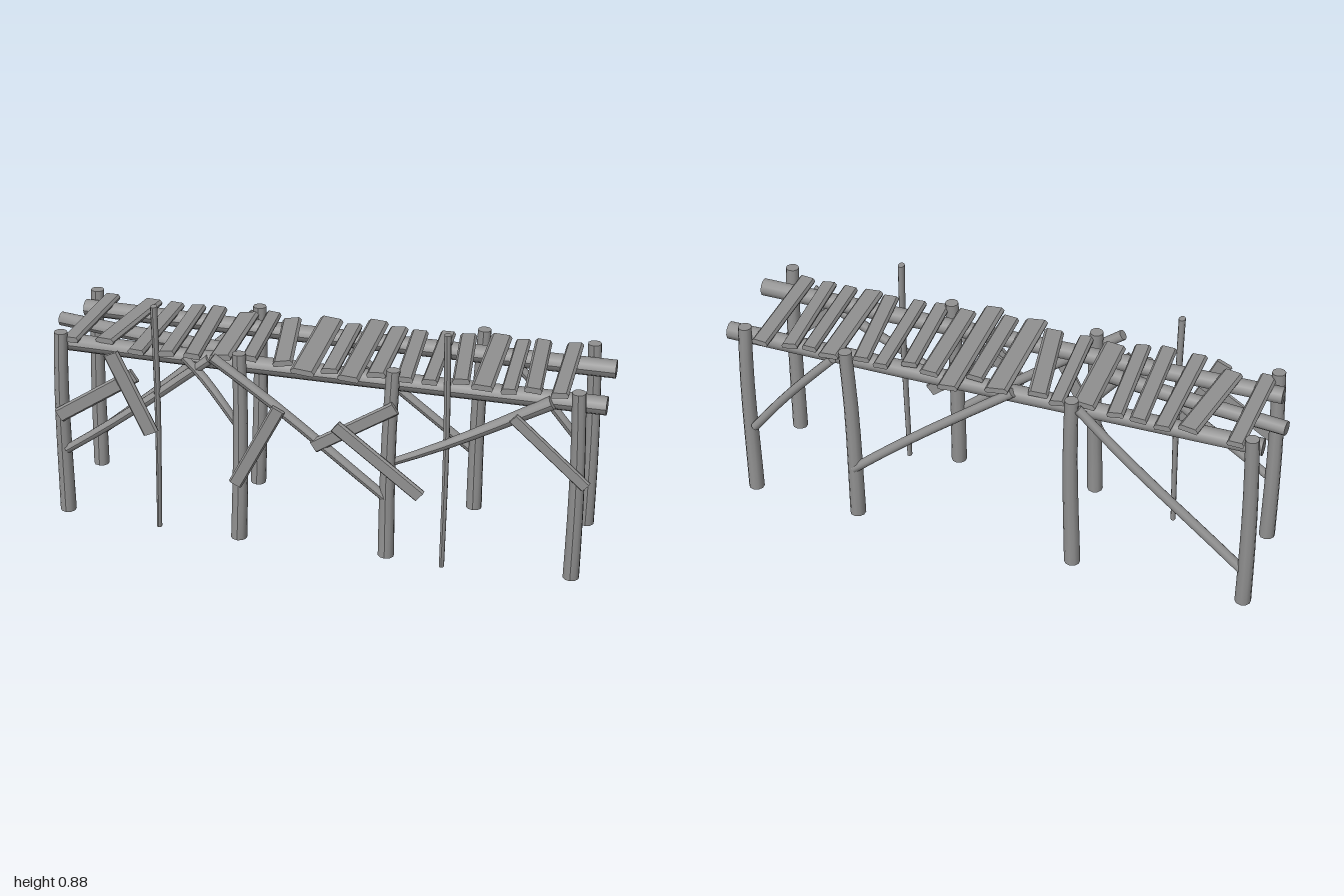
import * as THREE from 'three';

const wood = new THREE.MeshStandardMaterial({ color: 0x919191 });
const UP = new THREE.Vector3(0, 1, 0);

// Slightly bowed, tapered round log between two points
function log(name, a, b, r0, r1, bow = 0.006, flat = 1) {
  const from = new THREE.Vector3(...a), to = new THREE.Vector3(...b);
  const dir = to.clone().sub(from), len = dir.length();
  const geo = new THREE.CylinderGeometry(r1, r0, len, 10, 6);
  const p = geo.attributes.position;
  for (let i = 0; i < p.count; i++) {
    const t = p.getY(i) / len + 0.5;
    p.setX(i, p.getX(i) + bow * Math.sin(Math.PI * t));
    p.setZ(i, p.getZ(i) * flat + 0.4 * bow * Math.sin(Math.PI * 2 * t));
  }
  geo.computeVertexNormals();
  const mesh = new THREE.Mesh(geo, wood);
  mesh.name = name;
  mesh.position.copy(from).add(to).multiplyScalar(0.5);
  mesh.quaternion.setFromUnitVectors(UP, dir.normalize());
  return mesh;
}

// Rough-sawn slab: length along local z, top face narrower than the bottom
function slab(name, width, thick, length) {
  const w = width / 2, h = thick / 2;
  const s = new THREE.Shape([[-w * 0.9, -h], [w * 0.9, -h], [w, 0], [w * 0.75, h], [-w * 0.75, h], [-w, 0]]
    .map(([x, y]) => new THREE.Vector2(x, y)));
  const geo = new THREE.ExtrudeGeometry(s, { depth: length, bevelEnabled: false });
  geo.translate(0, 0, -length / 2);
  const mesh = new THREE.Mesh(geo, wood);
  mesh.name = name;
  return mesh;
}

export function createModel() {
  const model = new THREE.Group();
  model.name = 'woodenJetty';
  const group = (name) => {
    const g = new THREE.Group();
    g.name = name;
    model.add(g);
    return g;
  };

  // Posts: bottom x, z, top x, z
  const posts = group('posts');
  [
    [-0.935, 0.152, -0.918, 0.16], [-0.27, 0.203, -0.262, 0.185],
    [0.267, 0.203, 0.28, 0.19], [0.92, 0.198, 0.91, 0.215],
    [-0.935, -0.215, -0.918, -0.228], [-0.312, -0.212, -0.298, -0.22],
    [0.51, -0.21, 0.525, -0.21], [0.925, -0.192, 0.915, -0.185],
  ].forEach(([x0, z0, x1, z1], i) =>
    posts.add(log('post', [x0, 0.025, z0], [x1, 0.742, z1], 0.029, 0.024, i % 2 ? 0.006 : -0.006)));

  // Thin mooring poles rising above the deck
  const poles = group('mooringPoles');
  poles.add(log('pole', [-0.585, 0, 0.155], [-0.568, 0.88, 0.168], 0.009, 0.012, 0.005, 1.3));
  poles.add(log('pole', [0.465, 0, 0.193], [0.458, 0.88, 0.165], 0.009, 0.012, 0.005, 1.3));

  // Lengthwise beams under the deck
  const beams = group('beams');
  beams.add(log('frontBeam', [-0.95, 0.685, 0.112], [1, 0.675, 0.155], 0.031, 0.033, 0.004));
  beams.add(log('backBeam', [-0.95, 0.685, -0.185], [1, 0.675, -0.135], 0.031, 0.033, 0.004));
  beams.add(log('middleBeam', [-1, 0.687, -0.065], [-0.34, 0.68, 0.042], 0.026, 0.029, 0.004));

  // Deck planks: x at back, x at front, width, back z, front z
  const deck = group('deck');
  [
    [-0.865, -0.885, 0.06, -0.24, 0.16], [-0.70, -0.765, 0.072, -0.22, 0.14],
    [-0.615, -0.63, 0.06, -0.23, 0.2], [-0.53, -0.52, 0.06, -0.22, 0.2],
    [-0.45, -0.43, 0.06, -0.22, 0.19], [-0.335, -0.335, 0.08, -0.2, 0.17],
    [-0.245, -0.23, 0.055, -0.22, 0.17], [-0.17, -0.11, 0.07, -0.19, 0.175],
    [-0.03, -0.03, 0.085, -0.22, 0.22], [0.06, 0.06, 0.062, -0.18, 0.2],
    [0.135, 0.135, 0.075, -0.25, 0.24], [0.22, 0.22, 0.068, -0.2, 0.19],
    [0.30, 0.32, 0.06, -0.18, 0.2], [0.395, 0.405, 0.055, -0.21, 0.195],
    [0.47, 0.51, 0.06, -0.2, 0.18], [0.585, 0.585, 0.075, -0.22, 0.2],
    [0.665, 0.675, 0.055, -0.2, 0.2], [0.735, 0.755, 0.06, -0.21, 0.19],
    [0.845, 0.845, 0.06, -0.22, 0.2],
  ].forEach(([xb, xf, w, zb, zf], i) => {
    const plank = slab('plank', w, 0.02, Math.hypot(xf - xb, zf - zb));
    plank.position.set((xb + xf) / 2, 0.715 + 0.003 * Math.sin(i * 2.3), (zb + zf) / 2);
    plank.rotation.order = 'YXZ';
    plank.rotation.set(0.012 * Math.sin(i * 1.7), Math.atan2(xf - xb, zf - zb), 0.12 * Math.sin(i * 2.9));
    deck.add(plank);
  });

  // Round diagonal braces: start, end, radii
  const braces = group('braces');
  [
    [[-0.92, 0.28, 0.165], [-0.38, 0.69, 0.15], 0.016, 0.018],
    [[-0.27, 0.46, 0.18], [-0.47, 0.69, 0.15], 0.015, 0.017],
    [[0.27, 0.25, 0.205], [-0.35, 0.73, 0.215], 0.017, 0.019],
    [[0.28, 0.39, 0.19], [0.82, 0.68, 0.185], 0.013, 0.024],
    [[-0.92, 0.17, -0.22], [-0.32, 0.71, -0.22], 0.018, 0.017],
    [[0.51, 0.24, -0.225], [-0.08, 0.70, -0.19], 0.017, 0.017],
    [[0.9, 0.32, -0.21], [0.58, 0.69, -0.2], 0.016, 0.016],
  ].forEach(([a, b, r0, r1]) => braces.add(log('brace', a, b, r0, r1, 0.008)));

  // Flat boards nailed across the front: x0, y0, x1, y1, z, width
  const boards = group('frontBoards');
  [
    [-0.93, 0.43, -0.64, 0.62, 0.195, 0.055], [-0.72, 0.70, -0.585, 0.405, 0.205, 0.06],
    [-0.27, 0.26, -0.11, 0.57, 0.238, 0.05], [0.01, 0.435, 0.295, 0.615, 0.222, 0.05],
    [0.09, 0.53, 0.39, 0.295, 0.238, 0.05], [0.70, 0.635, 0.955, 0.405, 0.24, 0.042],
  ].forEach(([x0, y0, x1, y1, z, w]) => {
    const board = slab('board', w, 0.016, Math.hypot(x1 - x0, y1 - y0));
    const along = new THREE.Vector3(x1 - x0, y1 - y0, 0).normalize();
    const out = new THREE.Vector3(0, 0, 1);
    board.quaternion.setFromRotationMatrix(
      new THREE.Matrix4().makeBasis(out.clone().cross(along), out, along));
    board.position.set((x0 + x1) / 2, (y0 + y1) / 2, z);
    boards.add(board);
  });

  return model;
}
